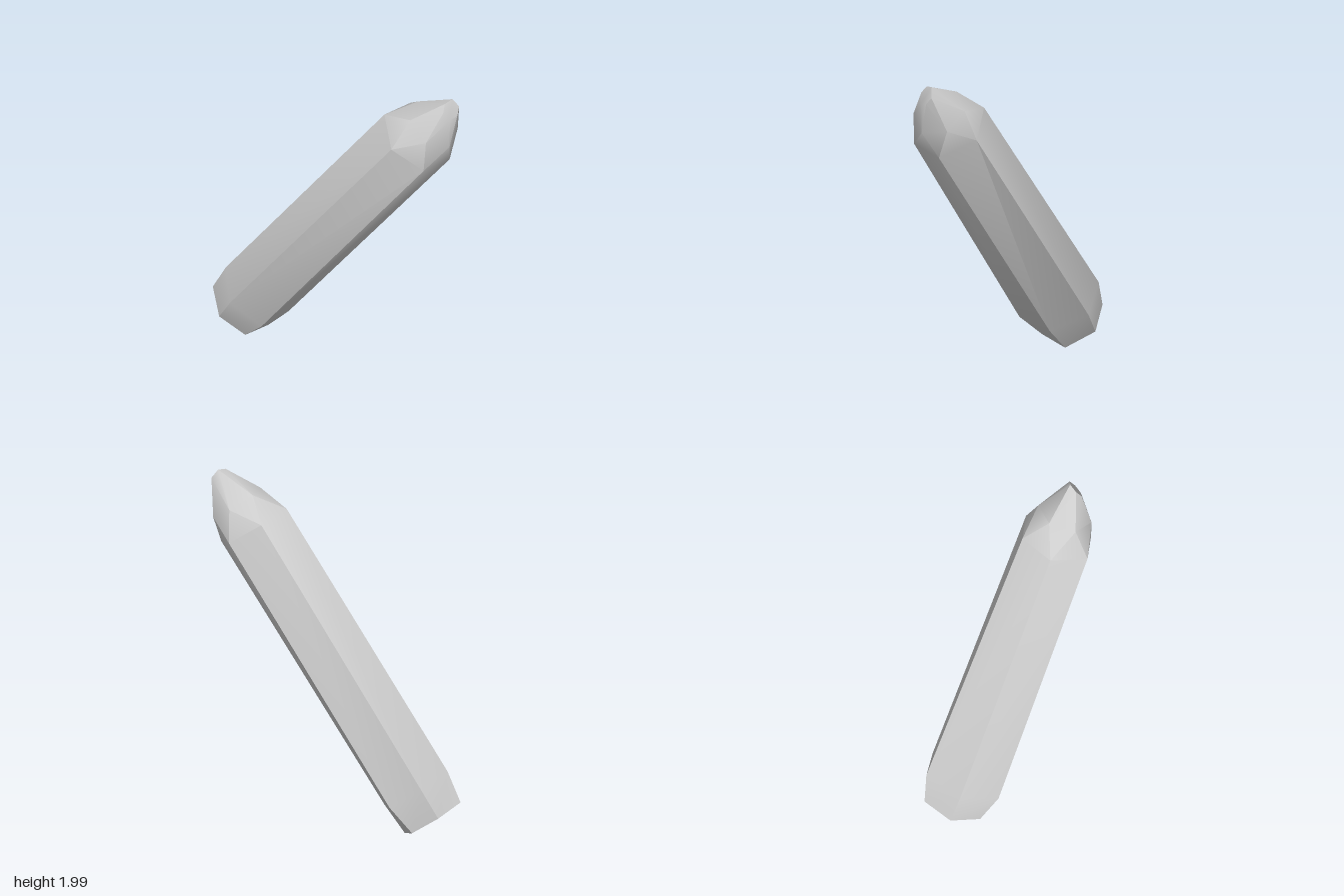
import * as THREE from 'three';
import { toCreasedNormals } from 'three/addons/utils/BufferGeometryUtils.js';

// Six-sided ring: three corners, and the other three reflected through the centre
const ring = (centre, ...corners) => [
  ...corners,
  ...corners.map((p) => p.map((v, i) => 2 * centre[i] - v)),
];

// Outward triangles between two rings; twisted rings have corners over the faces below
function band(a, b, twisted = false) {
  const out = [];
  for (let i = 0; i < 6; i++) {
    const j = (i + 1) % 6;
    if (twisted) out.push(a[i], a[j], b[i], a[j], b[j], b[i]);
    else out.push(a[i], a[j], b[j], a[i], b[j], b[i]);
  }
  return out;
}

// Flat end over a ring
function cap(r, flip) {
  const out = [];
  for (let i = 1; i < 5; i++) out.push(r[0], ...(flip ? [r[i + 1], r[i]] : [r[i], r[i + 1]]));
  return out;
}

export function createModel() {
  const group = new THREE.Group();
  group.name = 'crystal';
  const grey = new THREE.MeshStandardMaterial({ color: 0xcccccc });
  grey.name = 'light grey';

  // Cross-sections from the base to the tip
  const base = ring([-0.584, 0.118, 0.228], [-0.737, 0.203, 0.148], [-0.70, 0.23, 0.338], [-0.542, 0.14, 0.41]);
  const bodyStart = ring([-0.474, 0.275, 0.193], [-0.669, 0.378, 0.08], [-0.61, 0.40, 0.314], [-0.42, 0.304, 0.425]);
  const bodyEnd = ring([0.51, 1.686, -0.208], [0.33, 1.788, -0.295], [0.365, 1.81, -0.085], [0.559, 1.712, 0.01]);
  const shoulder = ring([0.607, 1.806, -0.256], [0.48, 1.90, -0.24], [0.572, 1.87, -0.114], [0.70, 1.776, -0.13]);
  const tip = ring([0.717, 1.947, -0.296], [0.697, 2.0, -0.32], [0.697, 1.988, -0.267], [0.716, 1.945, -0.24]);

  const points = [
    ...cap(base, true),
    ...band(base, bodyStart),
    ...band(bodyStart, bodyEnd),
    ...band(bodyEnd, shoulder, true),
    ...band(shoulder, tip),
    ...cap(tip, false),
  ];
  const geometry = new THREE.BufferGeometry();
  geometry.setAttribute('position', new THREE.Float32BufferAttribute(points.flat(), 3));

  const shard = new THREE.Mesh(toCreasedNormals(geometry, 0.7), grey);
  shard.name = 'crystalShard';
  group.add(shard);
  return group;
}
